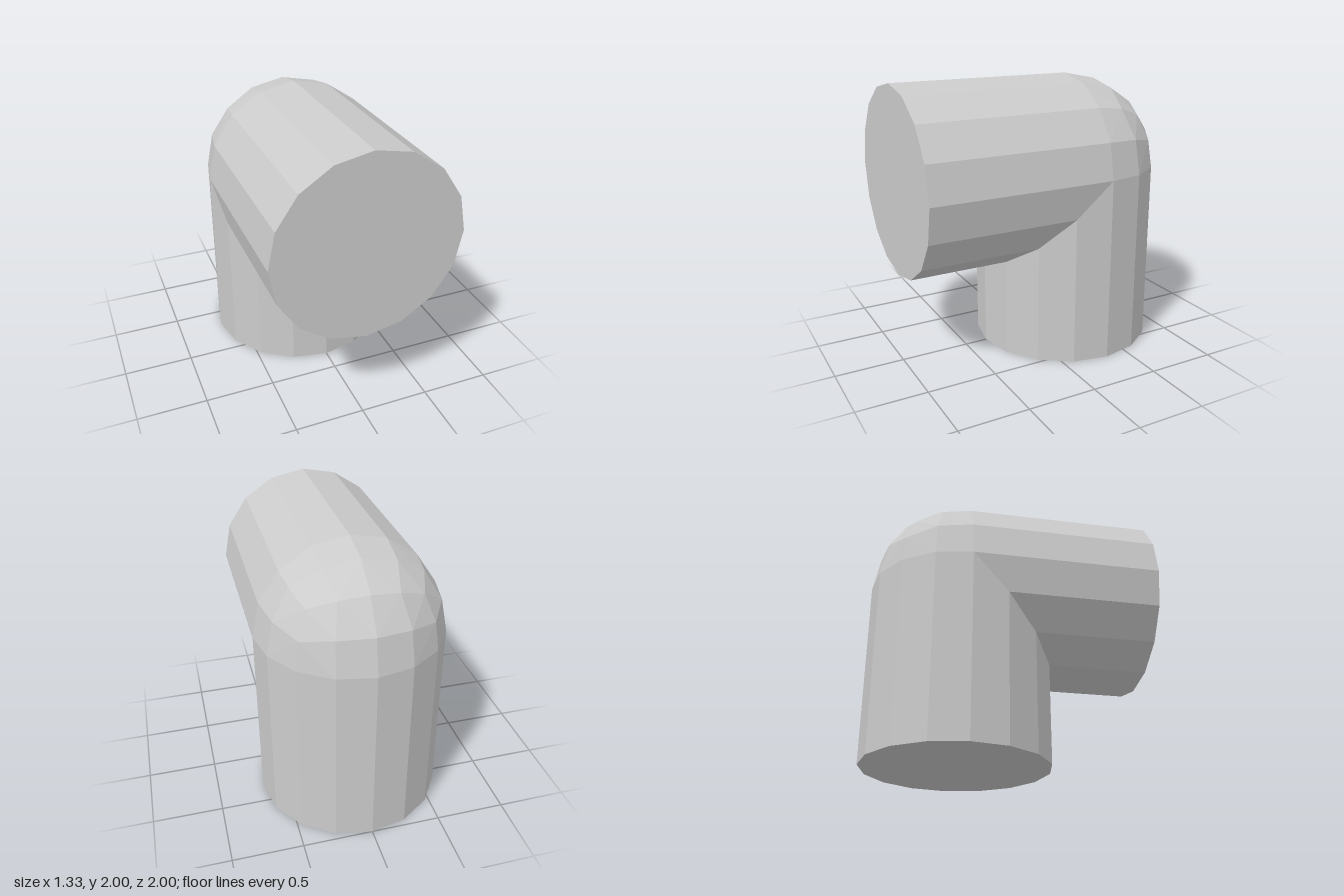
import * as THREE from 'three';
import { mergeGeometries } from 'three/addons/utils/BufferGeometryUtils.js';

const R = 2 / 3;          // pipe radius
const LENGTH = 4 / 3;     // pipe end to elbow centre
const SIDES = 16;

// Closed pipe hanging below the elbow centre, mitred at 45 degrees on its inner half
function pipeGeometry() {
  const side = new THREE.CylinderGeometry(R, R, LENGTH, SIDES, 1, true).translate(0, -LENGTH / 2, 0);
  const p = side.attributes.position;
  for (let i = 0; i < p.count; i++) {
    if (p.getY(i) > -0.01) p.setY(i, -Math.max(p.getZ(i), 0));
  }
  const cap = new THREE.CircleGeometry(R, SIDES).rotateX(Math.PI / 2).translate(0, -LENGTH, 0);
  return mergeGeometries([side, cap]);
}

// Quarter sphere over the outer corner: each octant is three quads, each split 2 x 2
function domeGeometry() {
  const positions = [];
  const dir = (x, y, z) => new THREE.Vector3(x, y, z).normalize();
  const patch = (a, b, c, d) => {
    const at = (i, j) => {
      const u = i / 2, v = j / 2;
      return new THREE.Vector3()
        .addScaledVector(a, (1 - u) * (1 - v)).addScaledVector(b, u * (1 - v))
        .addScaledVector(c, u * v).addScaledVector(d, (1 - u) * v)
        .setLength(R);
    };
    for (let i = 0; i < 2; i++) for (let j = 0; j < 2; j++) {
      const q = [at(i, j), at(i + 1, j), at(i + 1, j + 1), at(i, j + 1)];
      for (const k of [0, 1, 2, 0, 2, 3]) positions.push(...q[k].toArray());
    }
  };
  for (const s of [1, -1]) {
    const axes = [dir(s, 0, 0), dir(0, 1, 0), dir(0, 0, -1)];
    if (s > 0) axes.reverse(); // keeps the corners counter-clockwise from outside
    const middle = dir(s, 1, -1);
    axes.forEach((a, i) => {
      const next = a.clone().add(axes[(i + 1) % 3]).normalize();
      const prev = a.clone().add(axes[(i + 2) % 3]).normalize();
      patch(a, next, middle, prev);
    });
  }
  const g = new THREE.BufferGeometry();
  g.setAttribute('position', new THREE.Float32BufferAttribute(positions, 3));
  g.computeVertexNormals();
  return g;
}

export function createModel() {
  const model = new THREE.Group();
  model.name = 'pipeElbow';
  const material = new THREE.MeshStandardMaterial({ color: 0xcccccc, flatShading: true });

  const add = (name, geometry) => {
    const mesh = new THREE.Mesh(geometry, material);
    mesh.name = name;
    mesh.position.set(0, LENGTH, -1 / 3);
    model.add(mesh);
    return mesh;
  };

  const pipe = pipeGeometry();
  add('verticalPipe', pipe);

  // Half a turn about the elbow's diagonal carries the upright pipe to the front
  const diagonal = new THREE.Vector3(0, 1, -1).normalize();
  add('horizontalPipe', pipe).quaternion.setFromAxisAngle(diagonal, Math.PI);

  add('elbowDome', domeGeometry());
  return model;
}
